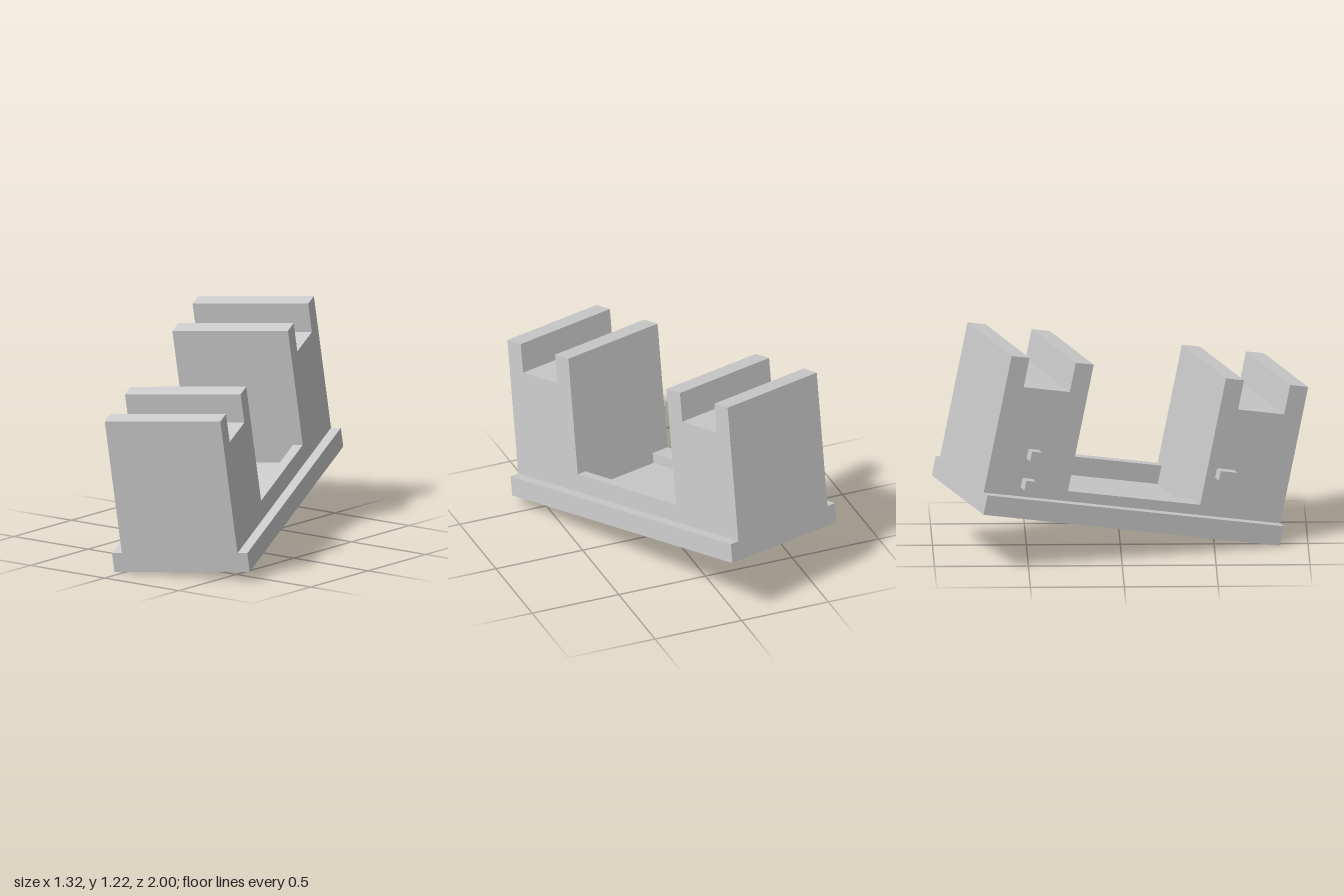
import * as THREE from 'three';

const material = new THREE.MeshStandardMaterial({ color: 0xcccccc });

// Main sizes in the bracket's own frame: x across, y up, -z along the length
const WIDTH = 0.758, LENGTH = 1.733, BASE = 0.108;
const LEFT = 0.055, RIGHT = 0.703;          // sides of the upper body
const TOP = 0.868, BLOCK = 0.48, RAIL = 0.105, GROOVE = 0.163;

export function createModel() {
  const bracket = new THREE.Group();
  bracket.name = 'bracket';

  // Box given by its ranges across, up and along the length
  function box(name, [x0, x1], [y0, y1], [b0, b1]) {
    const geometry = new THREE.BoxGeometry(x1 - x0, y1 - y0, b1 - b0);
    const mesh = new THREE.Mesh(geometry, material);
    mesh.name = name;
    mesh.position.set((x0 + x1) / 2, (y0 + y1) / 2, -(b0 + b1) / 2);
    bracket.add(mesh);
  }

  // Upright block with a square groove across its top
  function groovedBlock(name, start) {
    const end = start + BLOCK;
    const profile = new THREE.Shape([
      [start, BASE], [end, BASE], [end, TOP], [end - RAIL, TOP],
      [end - RAIL, TOP - GROOVE], [start + RAIL, TOP - GROOVE],
      [start + RAIL, TOP], [start, TOP],
    ].map(([b, y]) => new THREE.Vector2(b, y)));
    const geometry = new THREE.ExtrudeGeometry(profile, { depth: RIGHT - LEFT, bevelEnabled: false });
    geometry.rotateY(Math.PI / 2);
    geometry.translate(LEFT, 0, 0);
    const mesh = new THREE.Mesh(geometry, material);
    mesh.name = name;
    bracket.add(mesh);
  }

  // Base plate and the two blocks, flush with its ends
  box('basePlate', [0, WIDTH], [0, BASE], [0, LENGTH]);
  groovedBlock('frontBlock', 0);
  groovedBlock('backBlock', LENGTH - BLOCK);

  // Lips along both sides of the floor between the blocks
  const gap = [BLOCK, LENGTH - BLOCK];
  box('wideLip', [LEFT, LEFT + 0.108], [BASE, 0.164], gap);
  box('tallLip', [RIGHT - 0.055, RIGHT], [BASE, 0.21], gap);

  // Small pegs on one side
  box('frontPeg', [0, LEFT], [0.32, 0.373], [0.326, 0.426]);
  box('upperBackPeg', [0, LEFT], [0.318, 0.372], [1.468, 1.528]);
  box('lowerBackPeg', [0, LEFT], [0.156, 0.21], [1.468, 1.528]);

  // Turn the bracket, then tilt it, resting on its lowest corner
  bracket.rotation.set(0.197, 0.357, 0, 'XYZ');
  bracket.position.set(-0.05, 0, 0.85);

  const model = new THREE.Group();
  model.name = 'tiltedBracket';
  model.add(bracket);
  return model;
}
